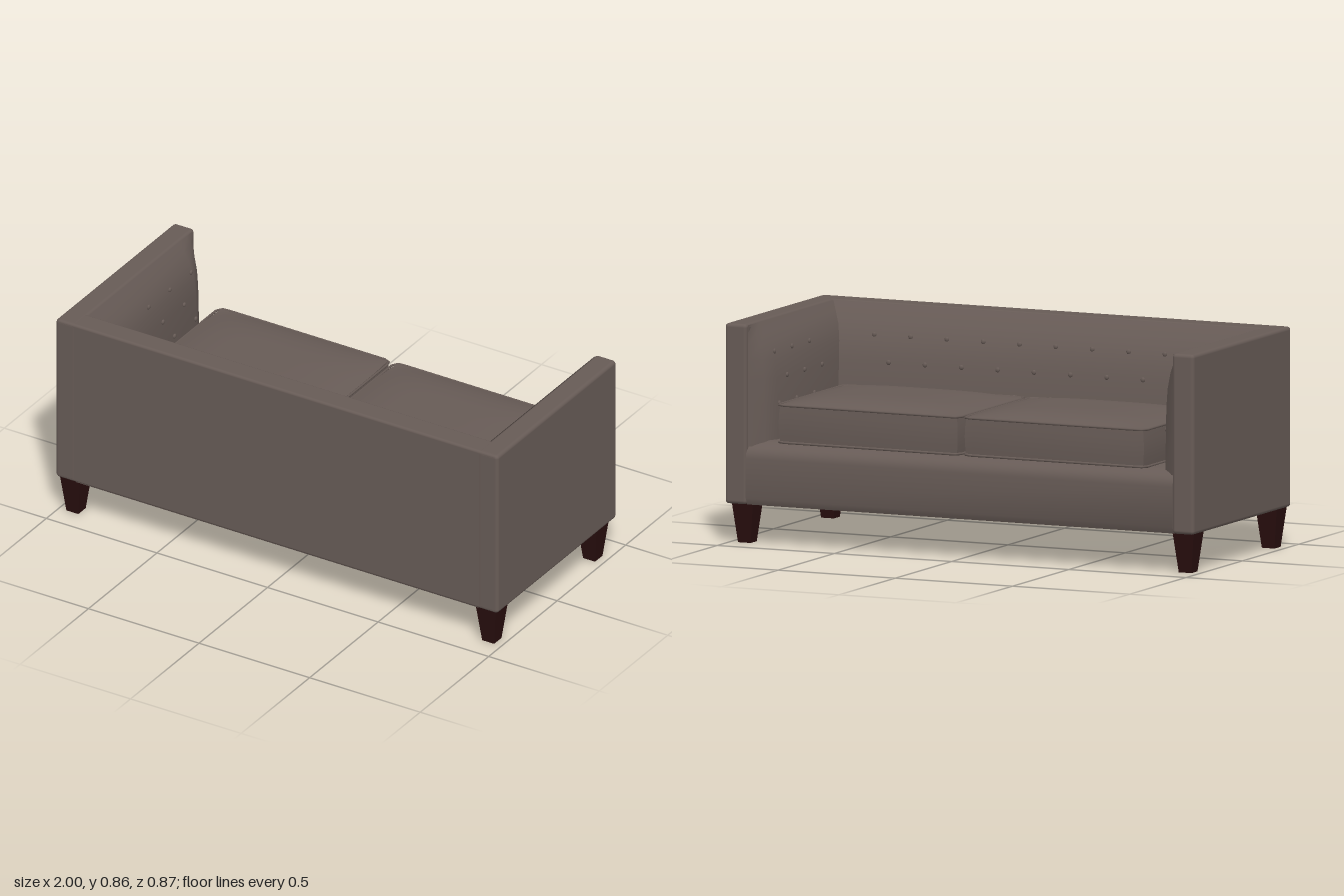
import * as THREE from 'three';
import { toCreasedNormals } from 'three/addons/utils/BufferGeometryUtils.js';
import { RoundedBoxGeometry } from 'three/addons/geometries/RoundedBoxGeometry.js';

const fabric = new THREE.MeshStandardMaterial({ color: 0x675b56 });
fabric.name = 'taupe fabric';
const padFabric = new THREE.MeshStandardMaterial({ color: 0x675b56, side: THREE.DoubleSide });
padFabric.name = 'taupe pad fabric';
const wood = new THREE.MeshStandardMaterial({ color: 0x280e0e });
wood.name = 'dark wood';

// Inner padding profile: height, half width between arms, depth of the back
const PROFILE = [
  [0.850, 0.908, 0.340], [0.815, 0.885, 0.312], [0.770, 0.858, 0.280], [0.710, 0.840, 0.250],
  [0.640, 0.832, 0.232], [0.540, 0.828, 0.216], [0.380, 0.826, 0.200],
];

function padAt(y) {
  let i = 0;
  while (i < PROFILE.length - 2 && PROFILE[i + 1][0] > y) i++;
  const [a, b] = [PROFILE[i], PROFILE[i + 1]];
  const t = (a[0] - y) / (a[0] - b[0]);
  return [THREE.MathUtils.lerp(a[1], b[1], t), THREE.MathUtils.lerp(a[2], b[2], t)];
}

// U-shaped padding lining the arms and back
function padGeometry() {
  const pos = [], idx = [];
  const half = (x, z) => [[0.908, -0.42], [x + (0.908 - x) * 0.35, -0.38], [x, -0.32], [x, z]];
  for (const [y, x, z] of PROFILE) {
    const side = half(x, z);
    const loop = [...side, ...side.map(([px, pz]) => [-px, pz]).reverse()];
    loop.forEach(([px, pz]) => pos.push(px, y, pz));
  }
  const n = 8;
  for (let r = 0; r < PROFILE.length - 1; r++) {
    for (let c = 0; c < n - 1; c++) {
      const a = r * n + c, b = a + 1, d = a + n, e = d + 1;
      idx.push(a, b, d, b, e, d);
    }
  }
  const g = new THREE.BufferGeometry();
  g.setAttribute('position', new THREE.Float32BufferAttribute(pos, 3));
  g.setIndex(idx);
  return toCreasedNormals(g, 0.8);
}

// Base with a soft rounded front edge, extruded across the width
function baseGeometry() {
  const s = new THREE.Shape();
  s.moveTo(-0.43, 0.155);
  s.lineTo(0.422, 0.155);
  s.lineTo(0.434, 0.18);
  s.lineTo(0.434, 0.335);
  s.quadraticCurveTo(0.432, 0.385, 0.36, 0.4);
  s.lineTo(-0.43, 0.41);
  const g = new THREE.ExtrudeGeometry(s, { depth: 1.82, bevelEnabled: false, curveSegments: 8 });
  g.translate(0, 0, -0.91);
  g.rotateY(Math.PI / 2); // shape x becomes -z, the seat front
  return toCreasedNormals(g, 0.6);
}

// Box cushion with a domed top and gently bulging sides
function cushionGeometry(w, h, d) {
  const g = new THREE.BoxGeometry(w, h, d, 20, 4, 20);
  const p = g.attributes.position;
  for (let i = 0; i < p.count; i++) {
    const u = p.getX(i) / (w / 2), v = p.getY(i) / (h / 2), t = p.getZ(i) / (d / 2);
    const corner = 1 - 0.025 * u * u * t * t;
    const swell = 1 - 0.015 * v * v;
    const dome = v > 0 ? 0.03 * v * (1 - u ** 4) * (1 - t ** 4) : 0;
    p.setXYZ(i, p.getX(i) * corner * swell, p.getY(i) + dome, p.getZ(i) * corner * swell);
  }
  g.computeVertexNormals();
  return g;
}

// Welt cord around a cushion edge
function pipingGeometry(w, d, r) {
  const x = w / 2, z = d / 2, c = 0.025, pts = [];
  for (const [sx, sz, a0] of [[1, 1, 0], [-1, 1, 1], [-1, -1, 2], [1, -1, 3]]) {
    for (let k = 0; k <= 3; k++) {
      const a = (a0 + k / 3) * Math.PI / 2;
      pts.push(new THREE.Vector3(sx * (x - c) + c * Math.cos(a), 0, sz * (z - c) + c * Math.sin(a)));
    }
  }
  const path = new THREE.CurvePath();
  pts.forEach((p, i) => path.add(new THREE.LineCurve3(p, pts[(i + 1) % pts.length])));
  return new THREE.TubeGeometry(path, 96, r, 6, true);
}

export function createModel() {
  const model = new THREE.Group();
  model.name = 'sofa';
  const add = (name, geometry, material, x = 0, y = 0, z = 0, parent = model) => {
    const m = new THREE.Mesh(geometry, material);
    m.name = name;
    m.position.set(x, y, z);
    parent.add(m);
    return m;
  };

  // Frame
  const arm = new RoundedBoxGeometry(0.092, 0.7, 0.87, 3, 0.014);
  for (const s of [1, -1]) add(s > 0 ? 'leftArm' : 'rightArm', arm, fabric, s * 0.954, 0.505, 0);
  add('backFrame', new RoundedBoxGeometry(1.99, 0.699, 0.095, 3, 0.01), fabric, 0, 0.505, 0.387);
  add('seatBase', baseGeometry(), fabric);
  add('innerPadding', padGeometry(), padFabric);

  // Seat cushions with piping
  const w = 0.784, d = 0.605, h = 0.15;
  const cushion = cushionGeometry(w, h, d), cord = pipingGeometry(w - 0.008, d - 0.008, 0.005);
  for (const s of [1, -1]) {
    const g = new THREE.Group();
    g.name = s > 0 ? 'leftCushion' : 'rightCushion';
    g.position.set(s * 0.397, 0.475, -0.12);
    model.add(g);
    add('cushionBody', cushion, fabric, 0, 0, 0, g);
    add('topPiping', cord, fabric, 0, h / 2 - 0.002, 0, g);
    add('bottomPiping', cord, fabric, 0, -h / 2 + 0.004, 0, g);
  }

  // Tufting buttons in staggered rows
  const buttons = new THREE.Group();
  buttons.name = 'tuftingButtons';
  model.add(buttons);
  const button = new THREE.SphereGeometry(0.01, 8, 6);
  [0.74, 0.64, 0.54].forEach((y, row) => {
    const [px, pz] = padAt(y);
    const count = row % 2 ? 9 : 10;
    for (let i = 0; i < count; i++) {
      add('backButton', button, fabric, (i - (count - 1) / 2) * 0.155, y, pz - 0.002, buttons).scale.z = 0.6;
    }
    for (const s of [1, -1]) {
      for (let i = 0; i < 3; i++) {
        const z = -0.31 + i * 0.155 + (row % 2 ? 0.0775 : 0);
        add('armButton', button, fabric, s * (px - 0.002), y, z, buttons).scale.x = 0.6;
      }
    }
  });

  // Tapered square legs
  const leg = new THREE.CylinderGeometry(0.045 * Math.SQRT2, 0.027 * Math.SQRT2, 0.157, 4, 1);
  leg.rotateY(Math.PI / 4);
  const legGeometry = toCreasedNormals(leg, 0.3);
  for (const x of [-0.94, 0.94]) {
    for (const z of [-0.357, 0.38]) add(z < 0 ? 'seatSideLeg' : 'backLeg', legGeometry, wood, x, 0.0785, z);
  }
  return model;
}
